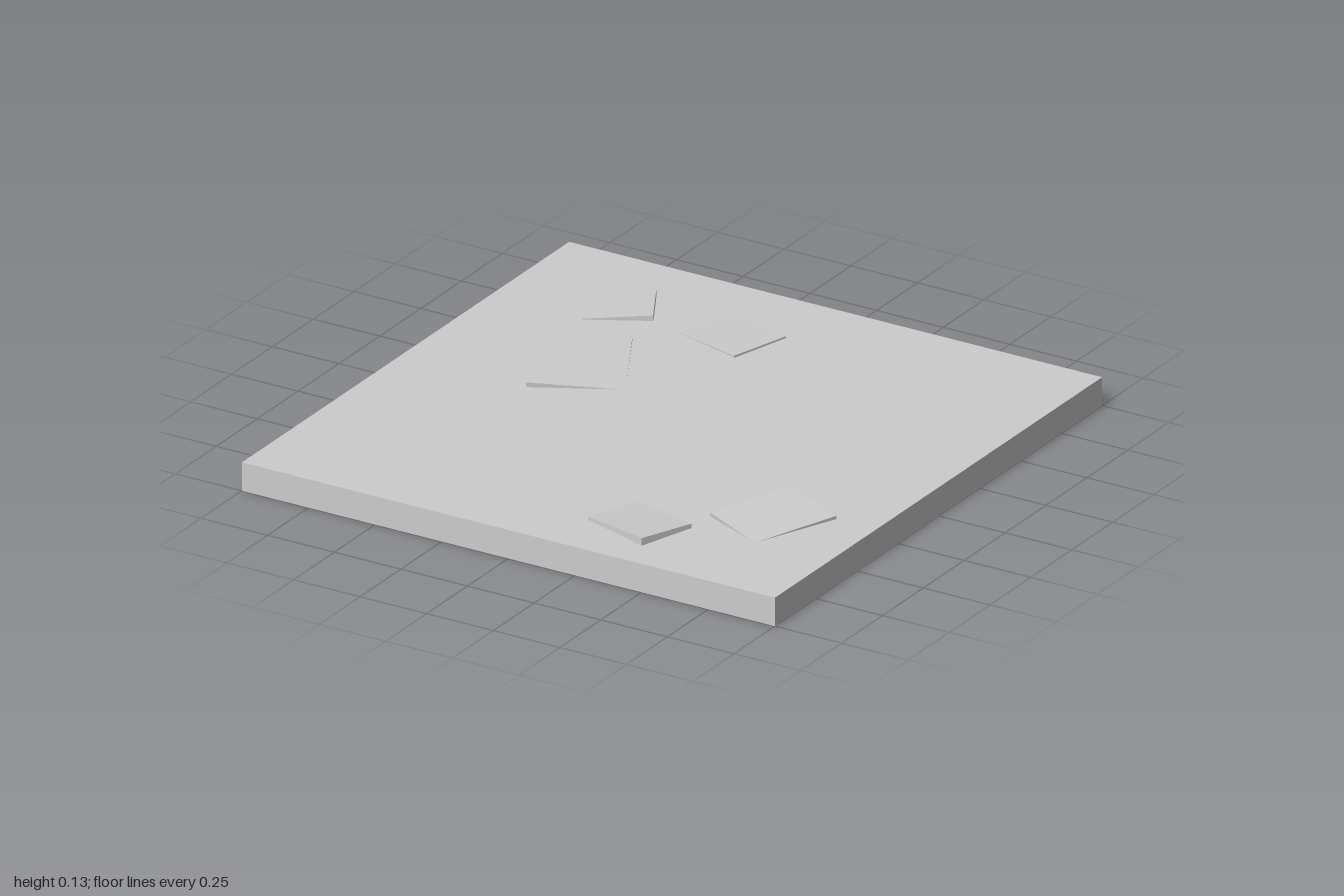
import * as THREE from 'three';

const material = new THREE.MeshStandardMaterial({ color: 0xcccccc, flatShading: true });
const THICKNESS = 0.03;

// Box whose top face has corner a and the two neighbouring corners b and c.
function tiltedSlab(name, a, b, c) {
  const [corner, u, v] = [a, b, c].map((p) => new THREE.Vector3(...p));
  u.sub(corner);
  v.sub(corner);
  const geometry = new THREE.BoxGeometry(u.length(), THICKNESS, v.length());
  geometry.translate(u.length() / 2, -THICKNESS / 2, v.length() / 2);
  const xAxis = u.clone().normalize();
  const yAxis = v.clone().cross(u).normalize();
  const zAxis = xAxis.clone().cross(yAxis);
  const basis = new THREE.Matrix4().makeBasis(xAxis, yAxis, zAxis).setPosition(corner);
  geometry.applyMatrix4(basis);
  const mesh = new THREE.Mesh(geometry, material);
  mesh.name = name;
  return mesh;
}

export function createModel() {
  const group = new THREE.Group();
  group.name = 'groundTile';

  // Square ground slab
  const base = new THREE.Mesh(new THREE.BoxGeometry(2, 0.1, 2), material);
  base.position.y = 0.05;
  base.name = 'groundSlab';
  group.add(base);

  // Flat paving stones, each half sunk into the ground at a slight tilt
  const stones = [
    ['largeStone', [-0.71, 0.134, -0.31], [-0.43, 0.116, -0.46], [-0.53, 0.117, 0.03]],
    ['backRightStone', [-0.75, 0.099, -0.69], [-0.55, 0.115, -0.8], [-0.65, 0.103, -0.51]],
    ['backStone', [-0.27, 0.101, -0.8], [-0.02, 0.106, -0.73], [-0.34, 0.102, -0.585]],
    ['leftStone', [0.62, 0.126, 0.28], [0.85, 0.112, 0.38], [0.49, 0.114, 0.57]],
    ['frontStone', [0.24, 0.101, 0.6], [0.49, 0.115, 0.68], [0.18, 0.112, 0.8]],
  ];
  for (const stone of stones) group.add(tiltedSlab(...stone));

  return group;
}
